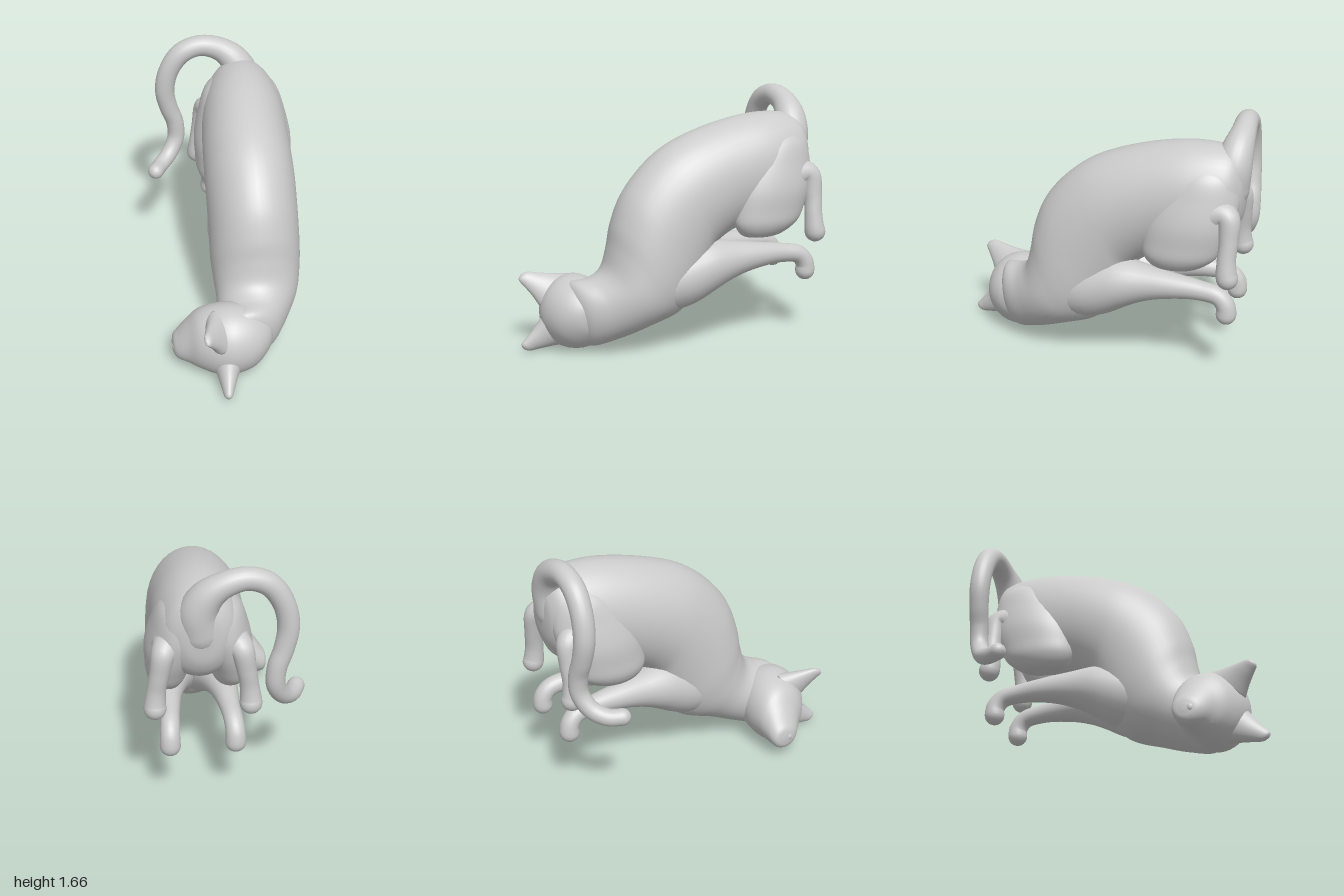
import * as THREE from 'three';

const V = (x, y, z) => new THREE.Vector3(x, y, z);
const material = new THREE.MeshStandardMaterial({ color: 0xcccccc });
const MID = 0.148; // x of the limbs' mirror plane

function addMesh(group, name, geometry) {
  const mesh = new THREE.Mesh(geometry, material);
  mesh.name = name;
  group.add(mesh);
  return mesh;
}

// Skin over closed elliptical rings { c, u, v }, with u x v pointing along the path
function skin(rings, sides = 40) {
  const pos = [], idx = [], n = rings.length;
  for (const { c, u, v } of rings) {
    for (let j = 0; j < sides; j++) {
      const a = (j / sides) * Math.PI * 2;
      const p = c.clone().addScaledVector(u, Math.cos(a)).addScaledVector(v, Math.sin(a));
      pos.push(p.x, p.y, p.z);
    }
  }
  for (let i = 0; i < n - 1; i++) {
    for (let j = 0; j < sides; j++) {
      const a = i * sides + j, b = i * sides + (j + 1) % sides;
      idx.push(a, b, a + sides, b, b + sides, a + sides);
    }
  }
  // end caps
  const first = pos.length / 3, last = first + 1, end = (n - 1) * sides;
  pos.push(...rings[0].c.toArray(), ...rings[n - 1].c.toArray());
  for (let j = 0; j < sides; j++) {
    const k = (j + 1) % sides;
    idx.push(first, k, j, last, end + j, end + k);
  }
  const g = new THREE.BufferGeometry();
  g.setAttribute('position', new THREE.Float32BufferAttribute(pos, 3));
  g.setIndex(idx);
  g.computeVertexNormals();
  return g;
}

// Smoothly interpolate a few key rings before skinning
function loft(keys, steps = 60) {
  const curve = (k) => new THREE.CatmullRomCurve3(keys.map((r) => r[k]), false, 'catmullrom', 0.5);
  const c = curve('c'), u = curve('u'), v = curve('v');
  const rings = [];
  for (let i = 0; i <= steps; i++) {
    const t = i / steps;
    rings.push({ c: c.getPoint(t), u: u.getPoint(t), v: v.getPoint(t) });
  }
  const mid = rings[steps >> 1], next = rings[(steps >> 1) + 1];
  if (mid.u.clone().cross(mid.v).dot(next.c.clone().sub(mid.c)) < 0) rings.forEach((r) => r.v.negate());
  return skin(rings);
}

// Round-ended limb through points [x, y, z, radius]
function limb(points, steps = 48) {
  const path = new THREE.CatmullRomCurve3(points.map((p) => V(p[0], p[1], p[2])));
  const radius = new THREE.CatmullRomCurve3(points.map((p) => V(p[3], 0, 0)), false, 'catmullrom', 0.5);
  const { tangents, normals, binormals } = path.computeFrenetFrames(steps, false);
  const rings = [];
  const ring = (i, angle) => {
    const t = path.getUtoTmapping(i / steps);
    const r = radius.getPoint(t).x, s = r * Math.cos(angle);
    rings.push({
      c: path.getPoint(t).addScaledVector(tangents[i], r * Math.sin(angle)),
      u: normals[i].clone().multiplyScalar(s),
      v: binormals[i].clone().multiplyScalar(s),
    });
  };
  for (let k = 6; k > 0; k--) ring(0, -k * Math.PI / 12.2);
  for (let i = 0; i <= steps; i++) ring(i, 0);
  for (let k = 1; k <= 6; k++) ring(steps, k * Math.PI / 12.2);
  return skin(rings, 24);
}

export function createModel() {
  const cat = new THREE.Group();
  cat.name = 'curledCat';

  // Arched torso and neck: back z, y / belly z, y / centre x, half width
  const torso = [
    [-0.965, 1.27, -0.965, 1.2, 0.15, 0.03],
    [-0.94, 1.42, -0.94, 1.04, 0.15, 0.14],
    [-0.85, 1.51, -0.85, 0.92, 0.155, 0.23],
    [-0.6, 1.53, -0.65, 0.83, 0.15, 0.28],
    [-0.3, 1.48, -0.37, 0.74, 0.135, 0.295],
    [0, 1.38, -0.23, 0.64, 0.13, 0.3],
    [0.2, 1.25, -0.2, 0.54, 0.13, 0.3],
    [0.36, 1.07, -0.15, 0.41, 0.13, 0.3],
    [0.44, 0.88, -0.08, 0.31, 0.13, 0.3],
    [0.47, 0.72, 0.03, 0.23, 0.13, 0.29],
    [0.51, 0.58, 0.2, 0.175, 0.12, 0.27],
    [0.59, 0.515, 0.4, 0.1, 0.075, 0.24],
    [0.7, 0.49, 0.6, 0.05, 0.01, 0.2],
    [0.74, 0.4, 0.7, 0.15, -0.05, 0.12],
  ];
  addMesh(cat, 'torso', loft(torso.map(([tz, ty, bz, by, x, w]) => ({
    c: V(x, (ty + by) / 2, (tz + bz) / 2),
    u: V(w, 0, 0),
    v: V(0, (ty - by) / 2, (tz - bz) / 2),
  })), 90));

  // Head lying on its side, muzzle toward -x: x, centre y, z, half height, half depth
  const head = [
    [0.2, 0.29, 0.57, 0.03, 0.03],
    [0.16, 0.28, 0.6, 0.12, 0.13],
    [0.06, 0.265, 0.625, 0.21, 0.2],
    [-0.08, 0.262, 0.64, 0.247, 0.225],
    [-0.2, 0.255, 0.625, 0.237, 0.217],
    [-0.3, 0.245, 0.6, 0.2, 0.182],
    [-0.37, 0.21, 0.57, 0.15, 0.137],
    [-0.43, 0.175, 0.55, 0.1, 0.102],
    [-0.458, 0.168, 0.54, 0.065, 0.07],
    [-0.468, 0.168, 0.535, 0.02, 0.02],
  ];
  addMesh(cat, 'head', loft(head.map(([x, y, z, h, d]) => ({
    c: V(x, y, z), u: V(0, h, 0), v: V(0, 0, d),
  }))));

  // Nose tip and eyes
  const bump = (name, x, y, z, sx, sy, sz) => {
    const m = addMesh(cat, name, new THREE.SphereGeometry(1, 20, 14));
    m.position.set(x, y, z);
    m.scale.set(sx, sy, sz);
  };
  bump('nose', -0.45, 0.168, 0.57, 0.022, 0.03, 0.025);
  bump('upperEye', -0.34, 0.325, 0.655, 0.02, 0.035, 0.025);
  bump('lowerEye', -0.34, 0.12, 0.665, 0.02, 0.035, 0.025);

  // Ears: flattened cones, wide at the base and blunt at the tip
  const ear = (name, base, tip, across, thick) => {
    addMesh(cat, name, loft([[0, 1.1], [0.35, 0.76], [0.7, 0.48], [0.93, 0.3], [1, 0.08]].map(([t, s]) => ({
      c: base.clone().lerp(tip, t),
      u: across.clone().multiplyScalar(s),
      v: thick.clone().multiplyScalar(s),
    })), 24));
  };
  ear('upperEar', V(-0.18, 0.4, 0.74), V(-0.275, 0.5, 0.935), V(0, 0.085, -0.1), V(0.075, 0, 0.02));
  ear('lowerEar', V(-0.125, 0.135, 0.76), V(-0.145, 0.037, 0.98), V(0, 0.09, 0.09), V(0.085, 0, 0.01));

  // Thigh cross-sections: y, centre x from the mid plane, z, half width, half depth
  const thigh = [
    [0.718, 0.18, -0.55, 0.02, 0.04],
    [0.745, 0.19, -0.55, 0.085, 0.15],
    [0.82, 0.2, -0.575, 0.125, 0.232],
    [0.92, 0.19, -0.6, 0.145, 0.265],
    [1.05, 0.165, -0.63, 0.17, 0.285],
    [1.2, 0.13, -0.665, 0.172, 0.275],
    [1.35, 0.1, -0.71, 0.15, 0.2],
    [1.45, 0.07, -0.73, 0.08, 0.08],
  ];

  // Paired limbs, mirrored about the mid plane
  for (const [side, s] of [['left', 1], ['right', -1]]) {
    const X = (dx) => MID + s * dx;

    addMesh(cat, side + 'Thigh', loft(thigh.map(([y, dx, z, w, d]) => ({
      c: V(X(dx), y, z), u: V(w, 0, 0), v: V(0, 0, d),
    }))));

    addMesh(cat, side + 'HindLeg', limb([
      [X(0.17), 1.08, -0.7, 0.13],
      [X(0.205), 1.13, -0.82, 0.1],
      [X(0.235), 1.12, -0.885, 0.076],
      [X(0.265), 0.98, -0.9, 0.062],
      [X(0.285), 0.86, -0.895, 0.06],
      [X(0.295), 0.76, -0.9, 0.068],
      [X(0.295), 0.74, -0.905, 0.07],
    ]));

    addMesh(cat, side + 'FrontLeg', limb([
      [X(0.05), 0.46, 0.2, 0.2],
      [X(0.085), 0.5, 0.02, 0.207],
      [X(0.13), 0.565, -0.18, 0.172],
      [X(0.16), 0.59, -0.36, 0.12],
      [X(0.18), 0.598, -0.52, 0.088],
      [X(0.19), 0.592, -0.7, 0.066],
      [X(0.2), 0.565, -0.84, 0.061],
      [X(0.205), 0.5, -0.89, 0.063],
      [X(0.205), 0.45, -0.892, 0.066],
    ]));
  }

  // Tail hooking over to one side and curling forward at the tip
  addMesh(cat, 'tail', limb([
    [0.16, 1.24, -0.85, 0.13],
    [0.17, 1.38, -0.87, 0.122],
    [0.12, 1.49, -0.89, 0.103],
    [0.03, 1.563, -0.905, 0.082],
    [-0.11, 1.6, -0.905, 0.072],
    [-0.24, 1.555, -0.9, 0.072],
    [-0.33, 1.43, -0.9, 0.07],
    [-0.365, 1.27, -0.905, 0.068],
    [-0.34, 1.12, -0.915, 0.064],
    [-0.3, 1.0, -0.925, 0.062],
    [-0.295, 0.87, -0.92, 0.06],
    [-0.35, 0.765, -0.87, 0.058],
    [-0.42, 0.72, -0.79, 0.056],
    [-0.46, 0.72, -0.71, 0.055],
  ], 90));

  return cat;
}
